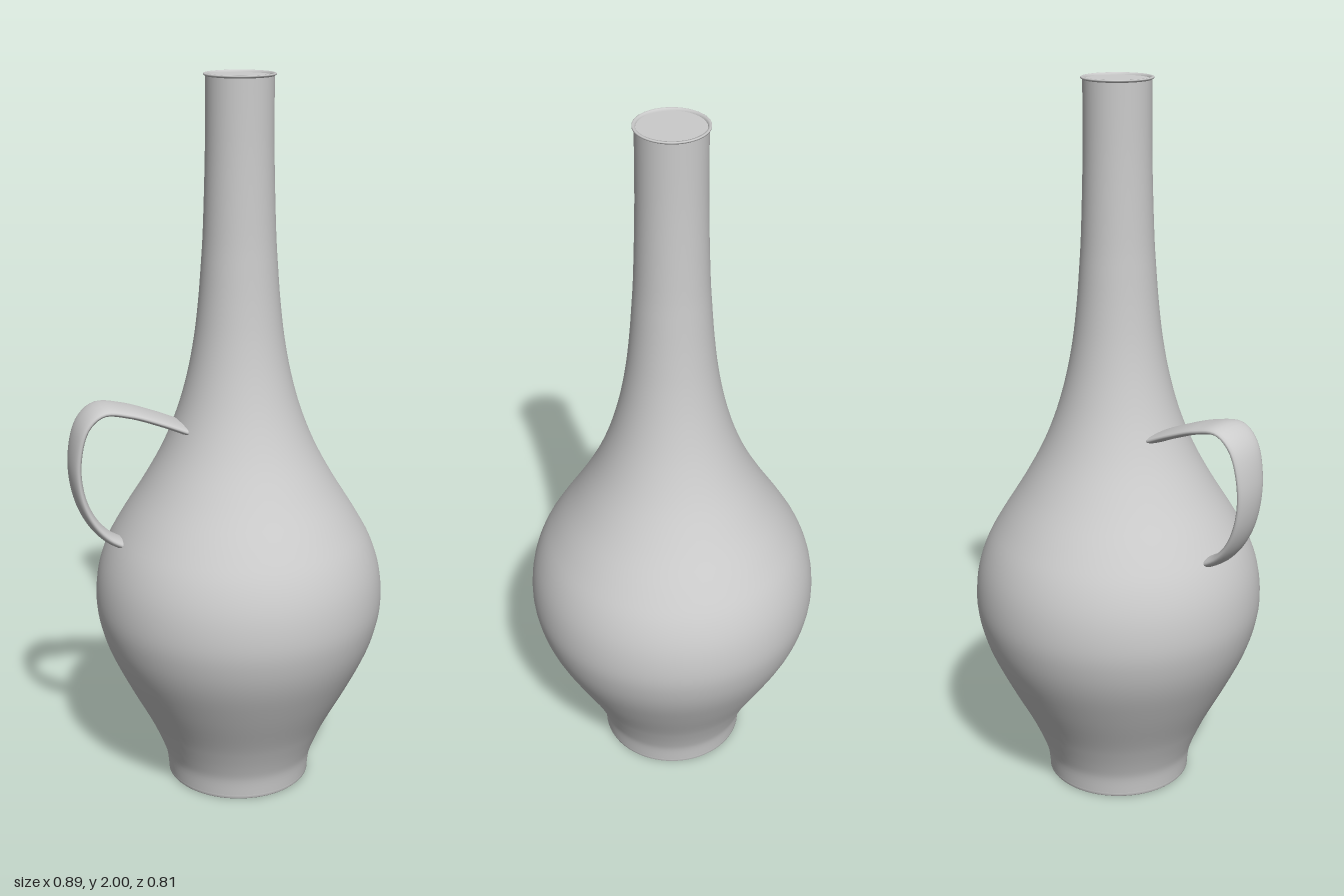
import * as THREE from 'three';

const CX = 0.038; // the vase axis sits off centre to balance the handle
const mat = new THREE.MeshStandardMaterial({ color: 0xcccccc });
const v2 = (a) => a.map(([x, y]) => new THREE.Vector2(x, y));

function lathe(name, points, parent) {
  const mesh = new THREE.Mesh(new THREE.LatheGeometry(points, 72), mat);
  mesh.name = name;
  mesh.position.x = CX;
  parent.add(mesh);
}

function disc(name, radius, y, up, parent) {
  const mesh = new THREE.Mesh(new THREE.CircleGeometry(radius, 72), mat);
  mesh.name = name;
  mesh.rotation.x = up ? -Math.PI / 2 : Math.PI / 2;
  mesh.position.set(CX, y, 0);
  parent.add(mesh);
}

// Flattened oval strap swept along a curve in the xy plane, tapering in width
function strapGeometry(curve, halfWidths, halfThick, steps = 56, sides = 24) {
  const pos = [], idx = [];
  const widthAt = (t) => {
    const f = t * (halfWidths.length - 1), i = Math.min(Math.floor(f), halfWidths.length - 2);
    return THREE.MathUtils.lerp(halfWidths[i], halfWidths[i + 1], f - i);
  };
  for (let i = 0; i <= steps; i++) {
    const t = i / steps, p = curve.getPointAt(t), d = curve.getTangentAt(t), w = widthAt(t);
    for (let j = 0; j < sides; j++) {
      const a = (j / sides) * Math.PI * 2, n = Math.cos(a) * halfThick;
      pos.push(p.x - d.y * n, p.y + d.x * n, Math.sin(a) * w);
      if (i < steps) {
        const k = (j + 1) % sides, A = i * sides + j, B = i * sides + k;
        idx.push(A, B, A + sides, B, B + sides, A + sides);
      }
    }
  }
  // end caps
  for (let j = 1; j < sides - 1; j++) {
    const e = steps * sides;
    idx.push(0, j + 1, j, e, e + j, e + j + 1);
  }
  const g = new THREE.BufferGeometry();
  g.setAttribute('position', new THREE.Float32BufferAttribute(pos, 3));
  g.setIndex(idx);
  g.computeVertexNormals();
  return g;
}

export function createModel() {
  const group = new THREE.Group();
  group.name = 'handledVase';

  // Body and neck in one smooth profile
  const profile = new THREE.SplineCurve(v2([
    [0.203, 0.012], [0.209, 0.06], [0.222, 0.1], [0.243, 0.15], [0.267, 0.2], [0.32, 0.3],
    [0.368, 0.4], [0.394, 0.48], [0.404, 0.555], [0.396, 0.64], [0.37, 0.72], [0.326, 0.8],
    [0.264, 0.9], [0.21, 1.0], [0.17, 1.1], [0.142, 1.2], [0.123, 1.3], [0.111, 1.4],
    [0.103, 1.5], [0.097, 1.6], [0.091, 1.8], [0.09, 1.993],
  ]));
  lathe('body', profile.getPoints(84), group);

  // Foot edge and base
  lathe('footEdge', v2([[0.199, 0], [0.203, 0.004], [0.203, 0.012]]), group);
  disc('base', 0.199, 0, false, group);

  // Lip and closed mouth
  lathe('lip', v2([[0.09, 1.993], [0.095, 1.996], [0.095, 1.999], [0.093, 2], [0.088, 2], [0.086, 1.994]]), group);
  disc('mouth', 0.087, 1.994, true, group);

  // Strap handle
  const path = new THREE.CatmullRomCurve3([
    [-0.122, 1.062], [-0.2, 1.096], [-0.29, 1.128], [-0.36, 1.137], [-0.405, 1.1], [-0.43, 1.0],
    [-0.42, 0.9], [-0.388, 0.825], [-0.345, 0.775], [-0.29, 0.742],
  ].map(([x, y]) => new THREE.Vector3(x, y, 0)));
  const handle = new THREE.Mesh(strapGeometry(path, [0.071, 0.066, 0.061, 0.054, 0.047, 0.042, 0.04], 0.0145), mat);
  handle.name = 'handle';
  group.add(handle);

  return group;
}
